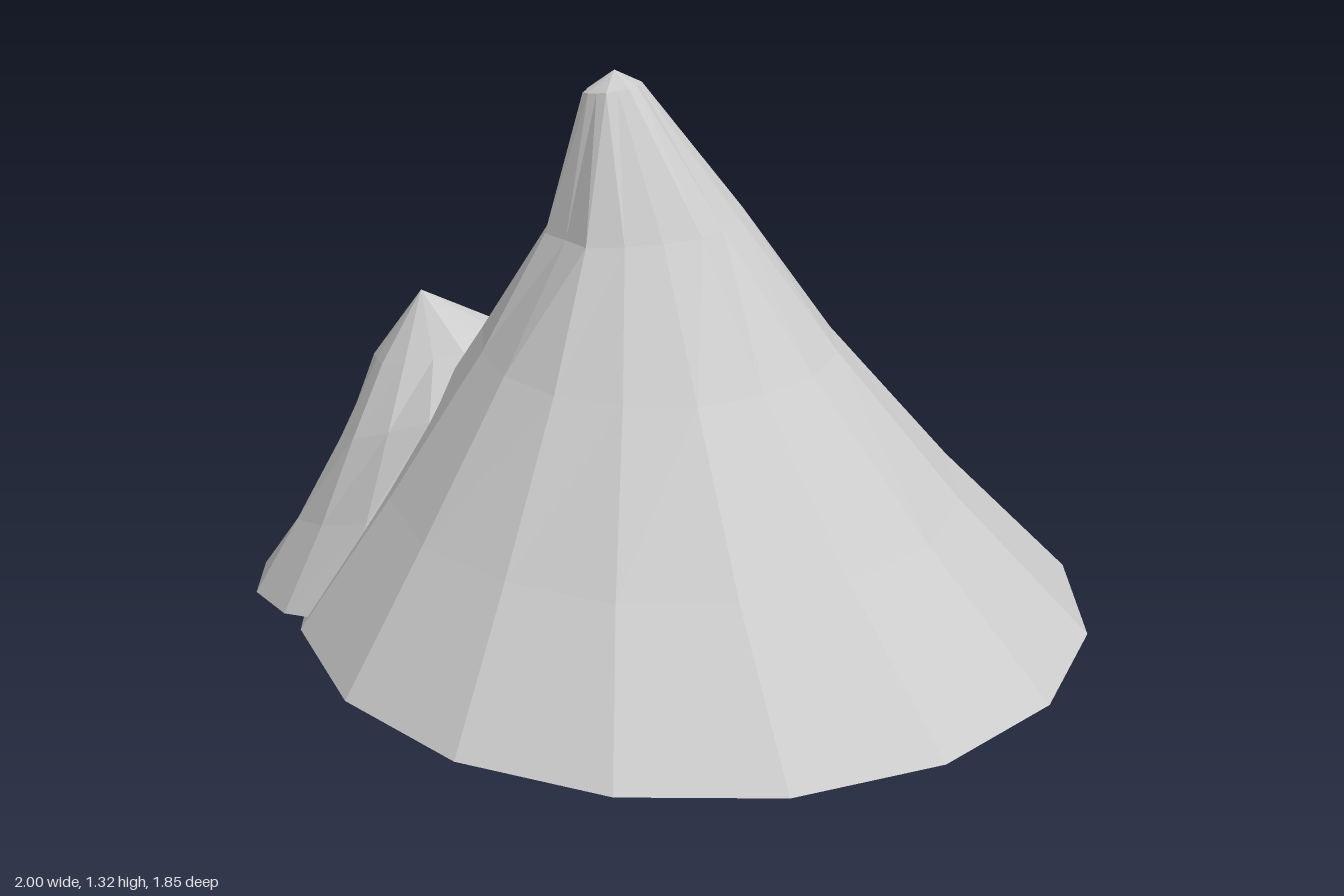
import * as THREE from 'three';

// Open faceted cone: stacked rings [cx, cy, cz, radius, slopeX, slopeZ, jitter] closed by an apex.
// shear moves x in proportion to z within each ring.
function facetedCone(name, rings, apex, sides, phase, shear, material) {
  const pos = [], index = [];
  rings.forEach(([cx, cy, cz, r, sx, sz, jitter], k) => {
    for (let i = 0; i < sides; i++) {
      const a = phase + (i / sides) * Math.PI * 2;
      const rr = r * (1 + jitter * Math.sin(i * 2.4 + k * 1.7));
      const dx = rr * Math.cos(a), dz = rr * Math.sin(a);
      pos.push(cx + dx + shear * dz, cy + sx * dx + sz * dz, cz + dz);
    }
  });
  pos.push(...apex);
  const top = rings.length * sides;
  for (let k = 0; k < rings.length; k++) {
    for (let i = 0; i < sides; i++) {
      const j = (i + 1) % sides;
      const a = k * sides + i, b = k * sides + j;
      if (k === rings.length - 1) index.push(a, top, b);
      else index.push(a, a + sides, b, b, a + sides, b + sides);
    }
  }
  const indexed = new THREE.BufferGeometry();
  indexed.setAttribute('position', new THREE.Float32BufferAttribute(pos, 3));
  indexed.setIndex(index);
  const geometry = indexed.toNonIndexed();
  geometry.computeVertexNormals();
  const mesh = new THREE.Mesh(geometry, material);
  mesh.name = name;
  return mesh;
}

export function createModel() {
  const group = new THREE.Group();
  group.name = 'mountain';
  const rock = new THREE.MeshStandardMaterial({
    color: 0xcccccc, flatShading: true, side: THREE.DoubleSide,
  });

  // Tall peak, slightly concave, leaning toward -x at the summit
  group.add(facetedCone('mainPeak', [
    [0.07, 0.076, 0, 0.925, 0, 0.008, 0],
    [0.03, 0.38, 0.02, 0.665, 0, 0, 0.006],
    [-0.005, 0.71, 0.03, 0.41, 0, 0, 0.01],
    [-0.04, 0.985, 0.035, 0.22, 0.1, 0, 0.05],
    [-0.105, 1.285, 0.06, 0.065, 0.18, 0, 0.06],
  ], [-0.1, 1.325, 0.06], 16, 0, 0.04, rock));

  // Small tilted peak leaning against the side of the tall one
  group.add(facetedCone('sidePeak', [
    [-0.48, 0.13, 0.12, 0.525, 0.23, -0.02, 0.01],
    [-0.525, 0.29, 0.12, 0.38, 0.33, 0, 0.015],
    [-0.555, 0.46, 0.11, 0.26, 0.4, 0, 0.03],
    [-0.59, 0.59, 0.075, 0.17, 0.25, 0, 0.04],
  ], [-0.62, 0.73, 0.12], 15, Math.PI, 0, rock));

  return group;
}
